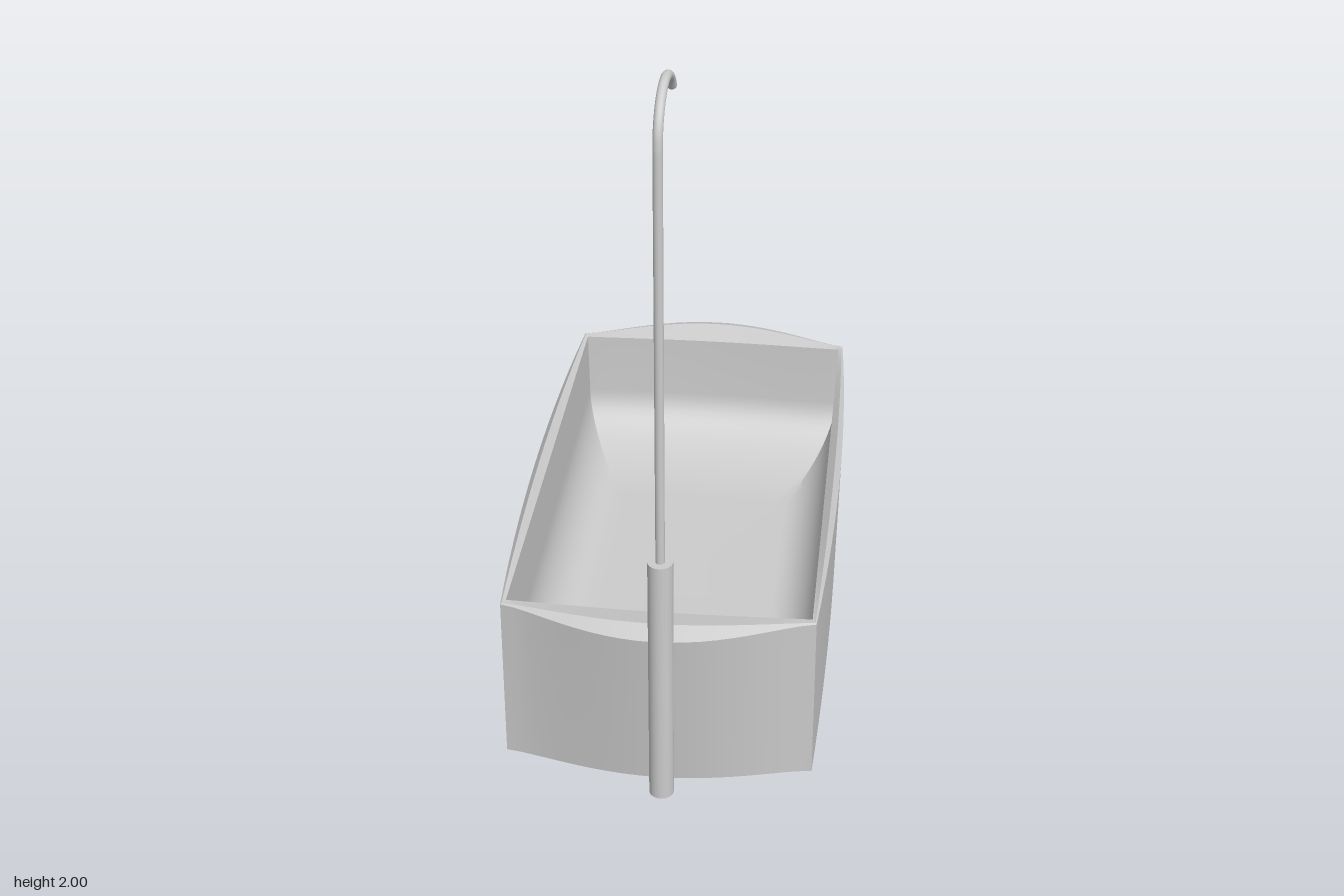
import * as THREE from 'three';
import { toCreasedNormals } from 'three/addons/utils/BufferGeometryUtils.js';

const SEG = 20; // segments per tub side
const TUB_Z = -0.095;

// Four-sided ring: half sizes hx/hz, side bulges bx/bz, corner height y, mid-side rise
function ring({ hx, hz, bx = 0, bz = 0, y, rise = 0 }) {
  const pts = [];
  for (let side = 0; side < 4; side++) {
    for (let i = 0; i < SEG; i++) {
      const s = -1 + (2 * i) / SEG;
      const long = side % 2 === 0;
      const bow = (1 - s * s) ** (long ? 1 : 1.4);
      const [X, Z] = [[1, -s], [-s, -1], [-1, s], [s, 1]][side];
      pts.push([
        X * (hx + (long ? bx * bow : 0)),
        y + rise * bow,
        Z * (hz + (long ? 0 : bz * bow)),
      ]);
    }
  }
  return pts;
}

// Skin a list of rings
function loft(rings) {
  const n = rings[0].length;
  const index = [];
  for (let r = 0; r < rings.length - 1; r++) {
    for (let j = 0; j < n; j++) {
      const a = r * n + j, b = r * n + ((j + 1) % n);
      index.push(a, b, b + n, a, b + n, a + n);
    }
  }
  const geo = new THREE.BufferGeometry();
  geo.setAttribute('position', new THREE.Float32BufferAttribute(rings.flat(2), 3));
  geo.setIndex(index);
  return toCreasedNormals(geo, 0.5);
}

export function createModel() {
  const group = new THREE.Group();
  const material = new THREE.MeshStandardMaterial({ color: 0xcccccc, side: THREE.DoubleSide });
  const add = (name, geometry, x = 0, y = 0, z = 0) => {
    const mesh = new THREE.Mesh(geometry, material);
    mesh.name = name;
    mesh.position.set(x, y, z);
    group.add(mesh);
  };

  const rings = [];
  // Slightly domed underside
  for (let i = 0; i <= 6; i++) {
    const k = i / 6;
    rings.push(ring({ hx: 0.375 * k, hz: 0.69 * k, bx: 0.015 * k, bz: 0.05 * k, y: 0.002 + 0.022 * k * k }));
  }
  // Bevelled foot, leaning bowed walls and a ridged rim
  rings.push(ring({ hx: 0.395, hz: 0.715, bx: 0.015, bz: 0.055, y: 0.045, rise: -0.01 }));
  rings.push(ring({ hx: 0.395, hz: 0.715, bx: 0.026, bz: 0.115, y: 0.503 }));
  rings.push(ring({ hx: 0.392, hz: 0.712, bx: 0.013, bz: 0.07, y: 0.505, rise: 0.018 }));
  rings.push(ring({ hx: 0.384, hz: 0.695, bz: 0.01, y: 0.503 }));
  // Basin: upright walls sweeping into a flat floor, broader sweep at the ends
  const SWEEP = 14;
  for (let i = 0; i <= SWEEP; i++) {
    const a = (i / SWEEP) * Math.PI / 2;
    const inset = 1 - Math.cos(a);
    rings.push(ring({
      hx: 0.38 - 0.13 * inset, hz: 0.69 - 0.31 * inset, bz: 0.01 * (1 - inset),
      y: 0.32 - 0.17 * Math.sin(a),
    }));
  }
  rings.push(ring({ hx: 0, hz: 0, y: 0.15 }));
  add('bathtub', loft(rings), 0, 0, TUB_Z);

  // Tap: thick lower sleeve and a slim hooked pipe
  const px = 0.042, pz = 0.895;
  add('tapSleeve', new THREE.CylinderGeometry(0.03, 0.03, 0.67, 32), px, 0.515, pz);

  const R = 0.113, bendY = 1.876;
  const path = new THREE.CurvePath();
  path.add(new THREE.LineCurve3(new THREE.Vector3(px, 0.84, pz), new THREE.Vector3(px, bendY, pz)));
  const arc = [];
  for (let i = 0; i <= 10; i++) {
    const a = (i / 10) * 2.58;
    const reach = R * (1 - Math.cos(a));
    arc.push(new THREE.Vector3(px + reach * 0.03, bendY + R * Math.sin(a), pz - reach));
  }
  path.add(new THREE.CatmullRomCurve3(arc));
  add('tapPipe', new THREE.TubeGeometry(path, 120, 0.011, 16));

  // Closed end of the spout
  const tip = arc[arc.length - 1];
  const cap = new THREE.CircleGeometry(0.011, 16);
  cap.lookAt(tip.clone().sub(arc[arc.length - 2]));
  add('spoutEnd', cap, tip.x, tip.y, tip.z);

  return group;
}
